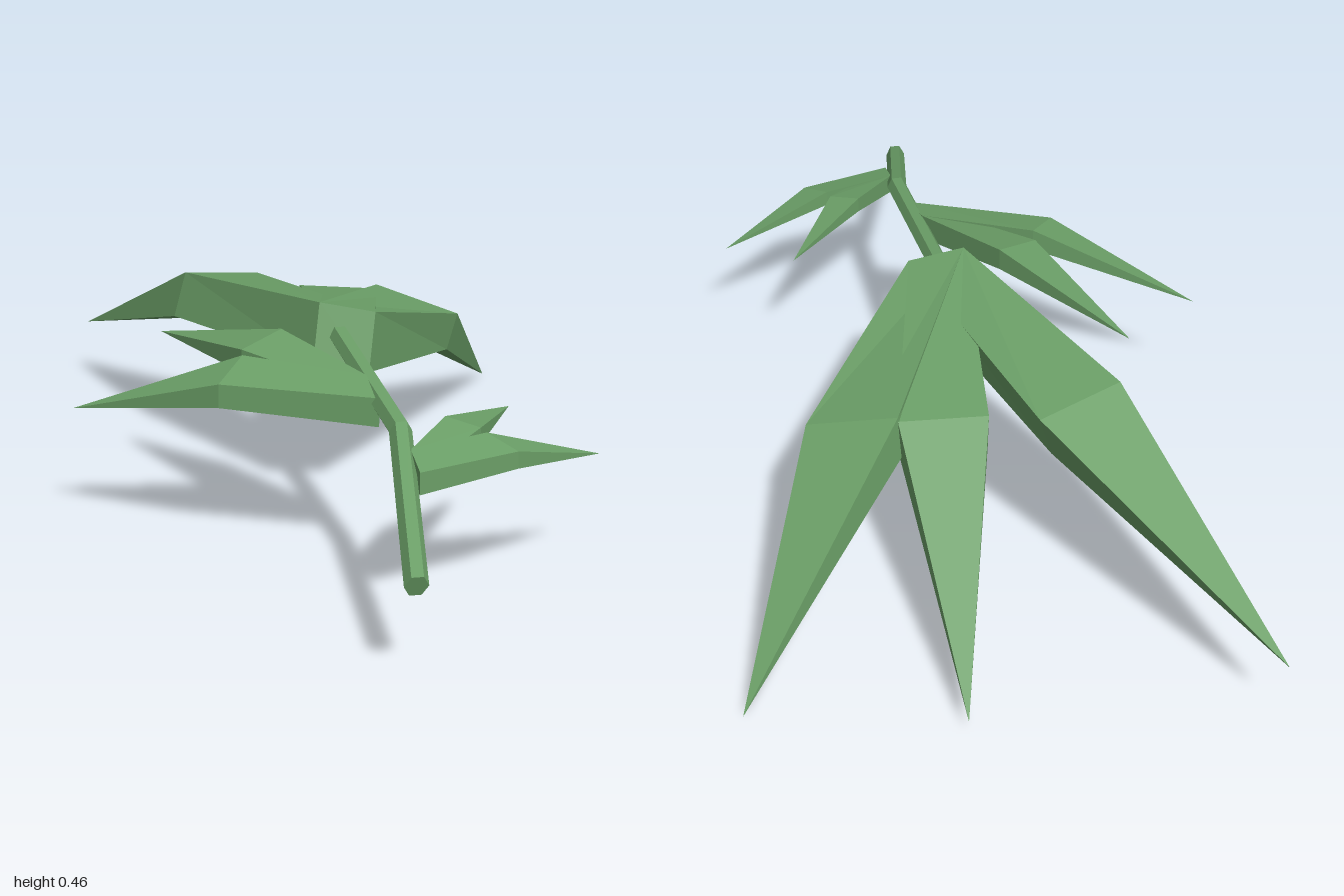
import * as THREE from 'three';

const material = new THREE.MeshStandardMaterial({ color: 0x6b9f67, flatShading: true, roughness: 0.9 });

// Skin a series of rings (corners clockwise as seen from the root), capped at both ends
function loft(name, rings) {
  const pos = [];
  const tri = (a, b, c) => pos.push(...a, ...b, ...c);
  const n = rings[0].length;
  for (let r = 0; r < rings.length - 1; r++) {
    const a = rings[r], b = rings[r + 1];
    for (let i = 0; i < n; i++) {
      const j = (i + 1) % n;
      tri(a[i], a[j], b[j]);
      if (b[i] !== b[j]) tri(a[i], b[j], b[i]);
    }
  }
  const first = rings[0], last = rings[rings.length - 1];
  for (let i = 1; i < n - 1; i++) {
    tri(first[0], first[i + 1], first[i]);
    if (last[0] !== last[1]) tri(last[0], last[i], last[i + 1]);
  }
  const geo = new THREE.BufferGeometry();
  geo.setAttribute('position', new THREE.Float32BufferAttribute(pos, 3));
  geo.computeVertexNormals();
  const mesh = new THREE.Mesh(geo, material);
  mesh.name = name;
  return mesh;
}

// Four-sided section from its upper left and right corners and the offset to the lower ones
function section([left, right], drop) {
  const down = (p) => p.map((v, k) => v + drop[k]);
  return [left, right, down(right), down(left)];
}

// Leaf: root section, wide middle section, pointed tip
function leaf(name, base, baseDrop, mid, midDrop, tip) {
  return loft(name, [section(base, baseDrop), section(mid, midDrop), [tip, tip, tip, tip]]);
}

// Hexagonal ring of the stem, leaning with its direction
function stemRing([x, y, z], lean) {
  const r = 0.023;
  return Array.from({ length: 6 }, (_, i) => {
    const a = -i * Math.PI / 3;
    const dy = r * Math.sin(a);
    return [x + r * Math.cos(a), y + dy, z + lean * dy];
  });
}

export function createModel() {
  const model = new THREE.Group();
  model.name = 'leafyTwig';

  // Bent stem
  model.add(loft('stem', [
    stemRing([-0.05, 0.18, 0.99], 0.37),
    stemRing([0.018, 0.328, 0.58], 0.23),
    stemRing([0, 0.385, 0.07], 0.1),
  ]));

  // Three large end leaves sharing one root
  const crown = new THREE.Group();
  crown.name = 'endLeaves';
  const root = [[-0.04, 0.455, 0.08], [0.08, 0.43, 0.09]];
  const rootDrop = [-0.02, -0.125, 0.03];
  crown.add(
    leaf('endLeafRight', root, rootDrop,
      [[-0.26, 0.41, -0.41], [-0.08, 0.385, -0.47]], [-0.03, -0.1, 0.015], [-0.44, 0.14, -1]),
    leaf('endLeafMiddle', root, rootDrop,
      [[0.01, 0.365, -0.41], [0.19, 0.355, -0.38]], [-0.005, -0.1, 0.03], [0.155, 0.03, -0.91]),
    leaf('endLeafLeft', root, rootDrop,
      [[0.19, 0.365, -0.38], [0.365, 0.308, -0.29]], [-0.03, -0.08, 0.02], [0.57, 0, -0.78]),
  );
  model.add(crown);

  // Pair of side leaves on the right
  const rightPair = new THREE.Group();
  rightPair.name = 'rightSideLeaves';
  const rightRoot = [[0.005, 0.355, 0.455], [0.0, 0.375, 0.36]];
  const rightDrop = [0, -0.06, 0];
  rightPair.add(
    leaf('lowerSideLeaf', rightRoot, rightDrop,
      [[-0.295, 0.36, 0.315], [-0.23, 0.39, 0.22]], [0, -0.05, 0], [-0.57, 0.25, 0.07]),
    leaf('upperSideLeaf', rightRoot, rightDrop,
      [[-0.225, 0.39, 0.18], [-0.13, 0.413, 0.12]], [0, -0.05, 0], [-0.35, 0.34, -0.17]),
  );
  model.add(rightPair);

  // Smaller pair of side leaves on the left
  const leftPair = new THREE.Group();
  leftPair.name = 'leftSideLeaves';
  const leftRoot = [[0.02, 0.315, 0.655], [0.02, 0.295, 0.73]];
  const leftDrop = [0, -0.045, 0];
  leftPair.add(
    leaf('lowerSideLeaf', leftRoot, leftDrop,
      [[0.185, 0.32, 0.6], [0.23, 0.3, 0.665]], [0, -0.035, 0], [0.44, 0.235, 0.53]),
    leaf('upperSideLeaf', leftRoot, leftDrop,
      [[0.12, 0.335, 0.53], [0.18, 0.322, 0.575]], [0, -0.035, 0], [0.3, 0.29, 0.36]),
  );
  model.add(leftPair);

  return model;
}
